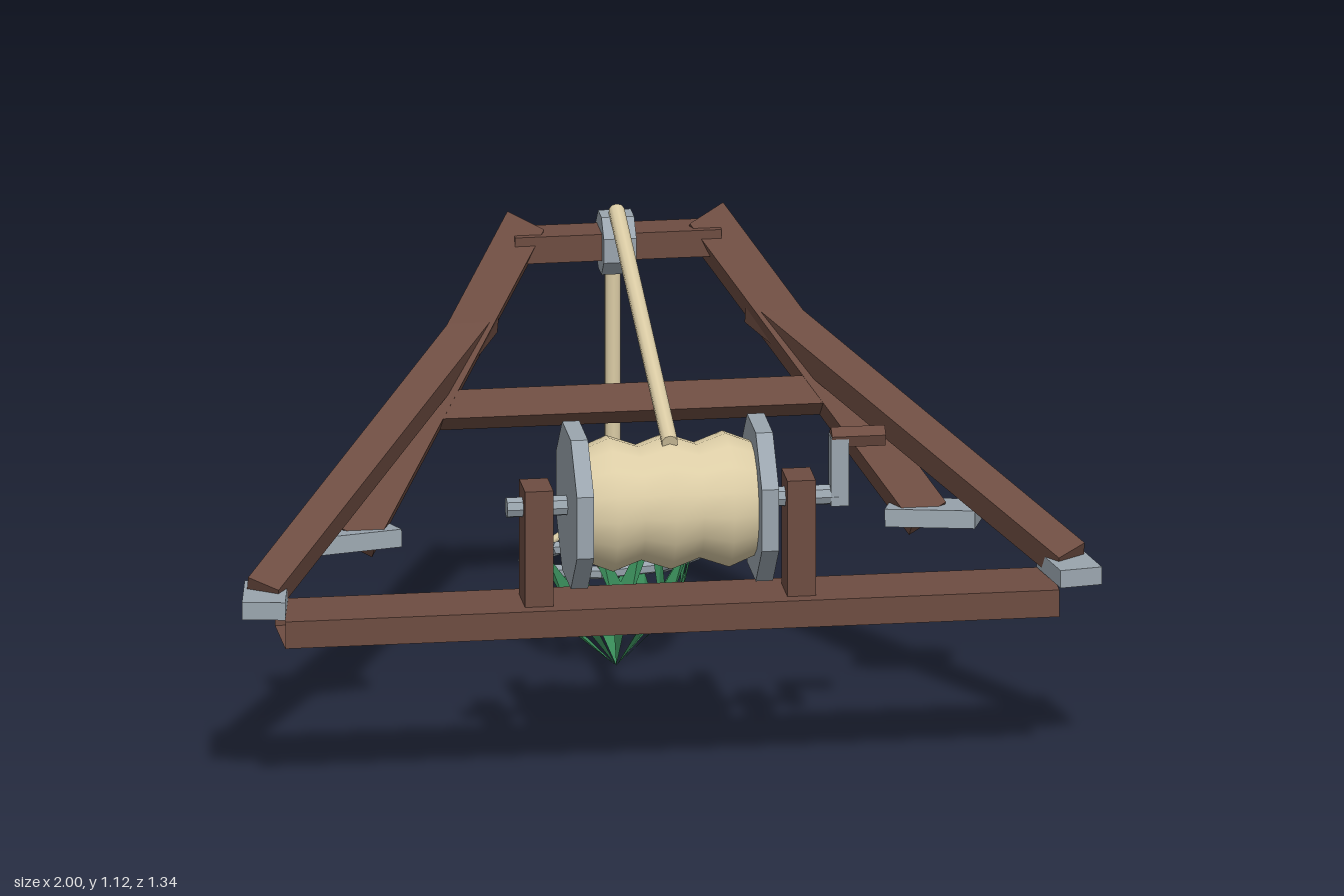
import * as THREE from 'three';

const V = (x, y, z) => new THREE.Vector3(x, y, z);
const mat = (color, flatShading = true, side = THREE.FrontSide) =>
  new THREE.MeshStandardMaterial({ color, flatShading, side });
const WOOD = mat(0x6d4c41), STEEL = mat(0x9aa5ae);
const ROPE = mat(0xdccda6, false), GREEN = mat(0x388a58, true, THREE.DoubleSide);

export function createModel() {
  const model = new THREE.Group();
  model.name = 'winchFrame';

  const add = (name, geo, material, pos = V(0, 0, 0), parent = model) => {
    const m = new THREE.Mesh(geo, material);
    m.name = name;
    m.position.copy(pos);
    parent.add(m);
    return m;
  };
  const box = (name, w, h, d, material, pos) => add(name, new THREE.BoxGeometry(w, h, d), material, pos);

  // Square timber from a to b; thick is measured along the normal, wide across it
  const timber = (name, a, b, normal, thick, wide) => {
    const d = b.clone().sub(a), len = d.length();
    d.normalize();
    const side = d.clone().cross(normal).normalize();
    const n = side.clone().cross(d);
    const m = box(name, wide, len, thick, WOOD, a.clone().lerp(b, 0.5));
    m.quaternion.setFromRotationMatrix(new THREE.Matrix4().makeBasis(side, d, n));
  };

  // Round rod from a to b
  const rod = (name, a, b, r, material, sides = 10, parent = model) => {
    const d = b.clone().sub(a);
    const m = add(name, new THREE.CylinderGeometry(r, r, d.length(), sides), material, a.clone().lerp(b, 0.5), parent);
    m.quaternion.setFromUnitVectors(V(0, 1, 0), d.normalize());
  };

  // Base beam, open at both ends
  const base = new THREE.BoxGeometry(1.8, 0.065, 0.178);
  base.setIndex(Array.from(base.index.array).slice(12));
  base.clearGroups();
  add('baseBeam', base, mat(0x6d4c41, true, THREE.DoubleSide), V(0, 0.422, 0.485));

  // Legs, feet, and winch posts on both sides
  for (const s of [-1, 1]) {
    timber('rearLeg', V(s * 0.665, 0.47, 0.045), V(s * 0.21, 1.067, -0.42), V(0, 0.616, 0.788), 0.078, 0.095);
    timber('frontLeg', V(s * 0.94, 0.49, 0.475), V(s * 0.32, 0.893, -0.31), V(0, 0.888, 0.459), 0.073, 0.08);
    const front = box('frontFoot', 0.1, 0.042, 0.185, STEEL, V(s * 0.935, 0.48, 0.484));
    front.rotation.set(-0.03, s * 0.17, 0);
    const rear = box('rearFoot', 0.21, 0.042, 0.128, STEEL, V(s * 0.68, 0.482, 0.043));
    rear.rotation.set(-0.09, -s * 0.28, 0);
    box('winchPost', 0.066, 0.287, 0.1, WOOD, V(s * 0.305, 0.59, 0.49));
  }

  // Cross bars between the rear legs
  box('crossBar', 0.94, 0.07, 0.075, WOOD, V(0, 0.718, -0.148)).rotation.x = -0.664;
  box('topBar', 0.48, 0.064, 0.09, WOOD, V(0, 1.03, -0.395));

  // Pulley on the top bar
  const axisX = (r, len, sides, turn = 0) =>
    new THREE.CylinderGeometry(r, r, len, sides).rotateY(turn).rotateZ(Math.PI / 2);
  add('pulley', axisX(0.075, 0.076, 8, Math.PI / 8), STEEL, V(0, 1.03, -0.39));

  // Winch: flanges, wound rope, axle
  const hub = V(0, 0.682, 0.49);
  for (const s of [-1, 1])
    add('drumFlange', axisX(0.194, 0.04, 8, Math.PI / 8), STEEL, hub.clone().setX(s * 0.215));
  const profile = [[0.132, -0.2], [0.158, -0.135], [0.134, -0.068], [0.158, 0],
    [0.134, 0.068], [0.158, 0.135], [0.132, 0.2]].map(([r, y]) => new THREE.Vector2(r, y));
  add('woundRope', new THREE.LatheGeometry(profile, 16).rotateZ(Math.PI / 2), ROPE, hub);
  add('axle', axisX(0.024, 0.77, 8), STEEL, hub.clone().setX(0.01));

  // Crank
  box('crankArm', 0.042, 0.165, 0.043, STEEL, V(0.398, 0.742, 0.492));
  add('crankHandle', axisX(0.025, 0.125, 5, Math.PI / 2), WOOD, V(0.442, 0.82, 0.492));

  // Hauling rope, over the pulley and down
  rod('haulRope', V(0, 0.835, 0.53), V(0, 1.108, -0.382), 0.019, ROPE);
  rod('dropRope', V(0, 1.03, -0.45), V(0, 0.385, -0.45), 0.019, ROPE);
  add('knot', new THREE.SphereGeometry(0.028, 8, 6), ROPE, V(0, 0.385, -0.45));

  // Tilted basket hanging from the knot
  const basket = new THREE.Group();
  basket.name = 'basket';
  basket.position.set(0, 0.24, -0.478);
  basket.rotation.x = -0.49;
  model.add(basket);
  add('basketRing', new THREE.TorusGeometry(0.2, 0.016, 6, 8).rotateX(Math.PI / 2), STEEL, V(0, 0, 0), basket);
  for (const a of [30, 150, 270].map(THREE.MathUtils.degToRad))
    rod('slingRope', V(0, 0.115, 0.093), V(0.2 * Math.cos(a), 0.01, 0.2 * Math.sin(a)), 0.01, ROPE, 6, basket);

  // Basket net: ribs rising from the tip, each forking to the ring
  const tip = V(0, -0.25, -0.03), pts = [];
  const rim = a => V(0.188 * Math.cos(a), -0.005, 0.188 * Math.sin(a));
  const mid = (a, y = -0.12) => V(0.152 * Math.cos(a), y, 0.152 * Math.sin(a) - 0.008);
  const tri = (...p) => p.forEach(v => pts.push(v.x, v.y, v.z));
  for (let i = 0; i < 8; i++) {
    const a = i * Math.PI / 4, w = 0.15;
    tri(tip, mid(a - w), mid(a + w));
    for (const s of [-1, 1]) {
      const outer = mid(a + s * w), inner = mid(a, -0.085);
      const r0 = rim(a + s * 0.25), r1 = rim(a + s * Math.PI / 8);
      tri(mid(a), outer, inner);
      tri(outer, r1, r0);
      tri(outer, r0, inner);
    }
  }
  const net = new THREE.BufferGeometry();
  net.setAttribute('position', new THREE.Float32BufferAttribute(pts, 3));
  net.computeVertexNormals();
  add('basketNet', net, GREEN, V(0, 0, 0), basket);

  return model;
}
